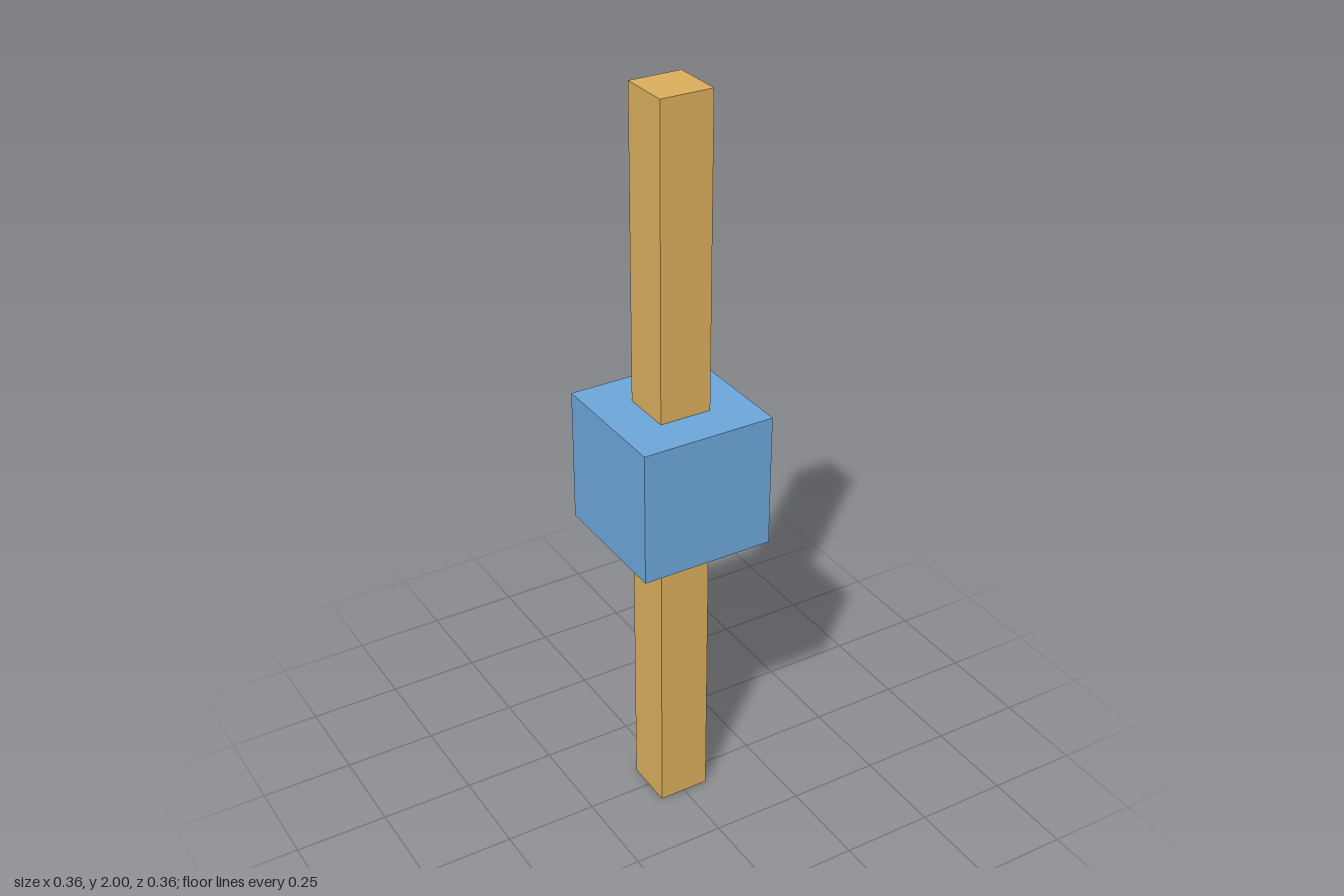
import * as THREE from 'three';

const HEIGHT = 2;
const ROD_WIDTH = 0.14;
const BLOCK_SIZE = 0.36;

// Box centred on the vertical axis at mid-height
function addBox(group, name, width, height, color) {
  const mesh = new THREE.Mesh(
    new THREE.BoxGeometry(width, height, width),
    new THREE.MeshStandardMaterial({ color })
  );
  mesh.name = name;
  mesh.position.y = HEIGHT / 2;
  group.add(mesh);
}

export function createModel() {
  const group = new THREE.Group();
  group.name = 'rodThroughBlock';

  // Tall square rod running through the middle of the cube
  addBox(group, 'rod', ROD_WIDTH, HEIGHT, 0xdaae5c);

  // Cube around the rod
  addBox(group, 'block', BLOCK_SIZE, BLOCK_SIZE, 0x6ca6d9);

  return group;
}
